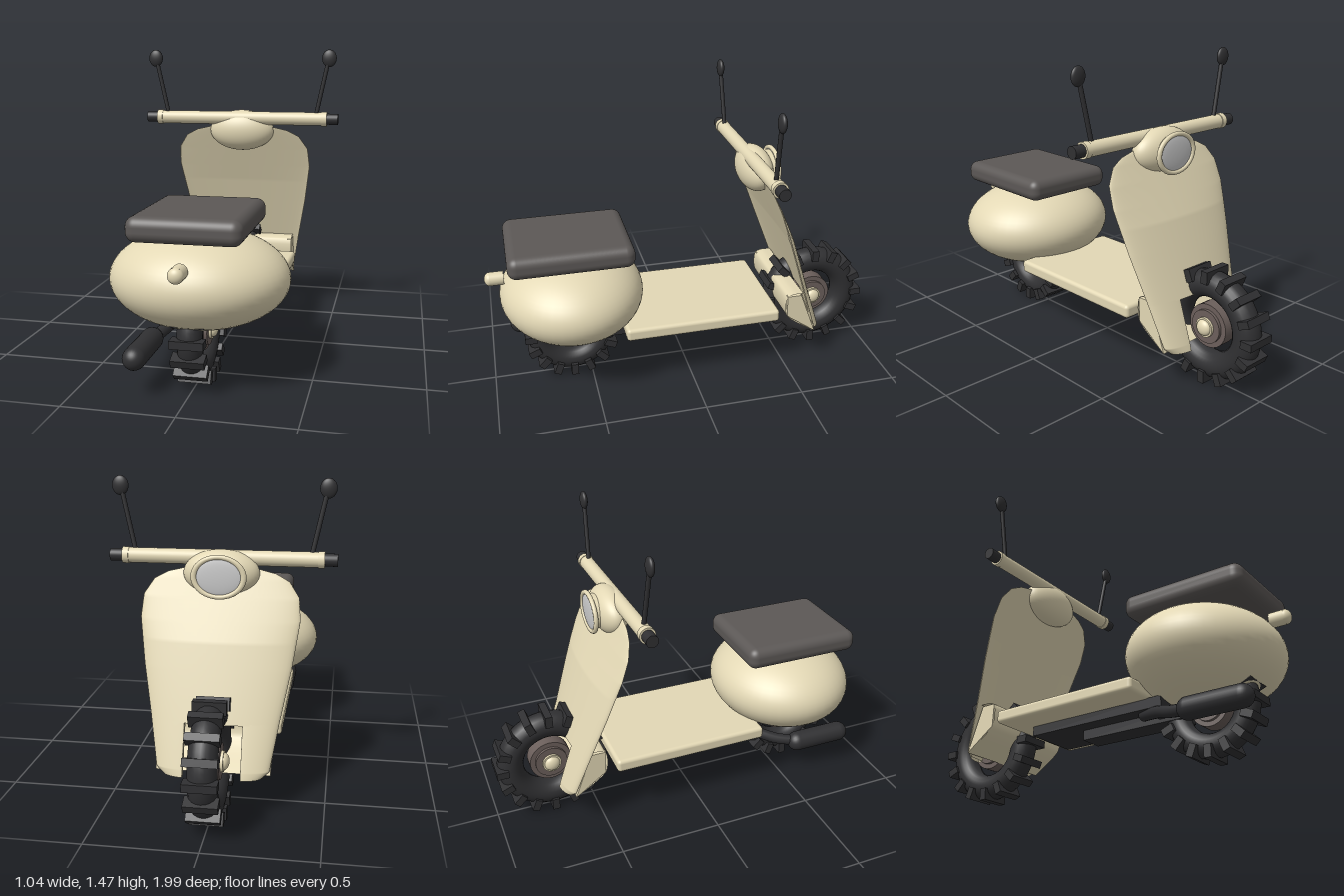
import * as THREE from 'three';
import { RoundedBoxGeometry } from 'three/addons/geometries/RoundedBoxGeometry.js';
import { ParametricGeometry } from 'three/addons/geometries/ParametricGeometry.js';

const mat = (color, side = THREE.FrontSide) => {
  const m = new THREE.MeshStandardMaterial({ side });
  m.color.set(color);
  return m;
};
const cream = mat(0xe3d8b5), creamThin = mat(0xe3d8b5, THREE.DoubleSide);
const black = mat(0x303032), seatGrey = mat(0x5c5856), hubBrown = mat(0x6b5f5b), glass = mat(0xd4d4d0);

function add(parent, name, geometry, material, x = 0, y = 0, z = 0) {
  const m = new THREE.Mesh(geometry, material);
  m.name = name;
  m.position.set(x, y, z);
  parent.add(m);
  return m;
}
const cylX = (r, length) => new THREE.CylinderGeometry(r, r, length, 32).rotateZ(Math.PI / 2);
const ellipsoid = (x, y, z) => new THREE.SphereGeometry(1, 48, 32).scale(x, y, z);

// Wheel with knobbly tyre, stepped hub and axle caps
function wheel(name, R, y, z) {
  const g = new THREE.Group();
  g.name = name;
  g.position.set(0, y, z);
  const tube = R * 0.235;
  add(g, 'tyre', new THREE.TorusGeometry(R * 0.95 - tube, tube, 20, 56).rotateY(Math.PI / 2), black);
  for (let i = 0; i < 16; i++) {
    const a = (i / 16) * Math.PI * 2;
    const r = R - 0.03;
    const t = add(g, 'tread', new THREE.BoxGeometry(0.15, 0.06, 0.036), black, 0, Math.cos(a) * r, Math.sin(a) * r);
    t.rotation.x = a;
  }
  add(g, 'hub', cylX(R * 0.38, 0.07), hubBrown);
  add(g, 'hubStep', cylX(R * 0.29, 0.1), hubBrown);
  add(g, 'axle', cylX(R * 0.17, 0.125), cream);
  for (const s of [-1, 1]) add(g, 'axleCap', ellipsoid(0.026, R * 0.14, R * 0.14), cream, s * 0.06);
  return g;
}

// Leg shield: closed lens-shaped sections stacked up a raked line
const outline = [[0.19, 0.22], [0.22, 0.255], [0.42, 0.29], [0.65, 0.335], [0.85, 0.365], [0.95, 0.357],
  [1.02, 0.31], [1.06, 0.23], [1.085, 0.06]];
const halfWidth = (y) => {
  let i = 0;
  while (i < outline.length - 2 && y > outline[i + 1][0]) i++;
  const [y0, w0] = outline[i], [y1, w1] = outline[i + 1];
  return THREE.MathUtils.lerp(w0, w1, THREE.MathUtils.clamp((y - y0) / (y1 - y0), 0, 1));
};
const rakeZ = (y) => -0.365 - (1.03 - y) * 0.35;

function shieldPart(y0, y1, side) {
  return new ParametricGeometry((u, v, p) => {
    const y = y0 + (y1 - y0) * v, a = u * Math.PI * 2, w = halfWidth(y);
    const c = Math.cos(a), s = Math.sin(a);
    const x = side === 0 ? w * c : side * (0.13 + (w - 0.13) * (0.5 + 0.5 * c));
    const taper = Math.sqrt(Math.max(0, 1 - (x / w) ** 2)) * Math.min(1, (1.1 - y) * 3);
    p.set(x, y, rakeZ(y) - (s >= 0 ? 0.052 : 0.018) * taper + (s >= 0 ? -0.004 : 0.004) * Math.abs(s));
  }, 48, 40);
}

export function createModel() {
  const model = new THREE.Group();
  model.name = 'scooter';

  // Rear body, seat and tail lamp
  add(model, 'rearBody', ellipsoid(0.405, 0.222, 0.358), cream, 0, 0.482, 0.577);
  add(model, 'seat', new RoundedBoxGeometry(0.5, 0.112, 0.605, 6, 0.045), seatGrey, 0, 0.742, 0.585);
  add(model, 'tailLamp', new THREE.CylinderGeometry(0.034, 0.034, 0.07, 24).rotateX(Math.PI / 2), cream, 0, 0.588, 0.94);
  add(model, 'tailLampDome', ellipsoid(0.034, 0.034, 0.027), cream, 0, 0.588, 0.973);

  // Floor and the stepped frame beneath it
  add(model, 'floor', new RoundedBoxGeometry(0.58, 0.065, 0.79, 4, 0.018), cream, 0, 0.337, -0.047);
  add(model, 'frame', new THREE.BoxGeometry(0.28, 0.05, 0.74), black, 0, 0.283, 0.04);
  add(model, 'lowerFrame', new THREE.BoxGeometry(0.12, 0.05, 0.55), black, 0, 0.235, 0.195);

  // Wheels
  model.add(wheel('frontWheel', 0.277, 0.287, -0.712));
  model.add(wheel('rearWheel', 0.24, 0.245, 0.593));

  // Leg shield with a gap at the foot for the wheel
  add(model, 'legShield', shieldPart(0.42, 1.085, 0), creamThin);
  for (const s of [-1, 1]) add(model, 'shieldFoot', shieldPart(0.19, 0.425, s), creamThin);

  // Wheel well behind the shield: two cheeks and a curved back
  const well = new THREE.Group();
  well.name = 'wheelWell';
  const cheek = new THREE.Shape([[-0.565, 0.425], [-0.49, 0.425], [-0.495, 0.31], [-0.65, 0.2]]
    .map(([z, y]) => new THREE.Vector2(-z, y)));
  for (const s of [-1, 1]) {
    const g = new THREE.ExtrudeGeometry(cheek, { depth: 0.02, bevelEnabled: false }).rotateY(Math.PI / 2);
    add(well, 'cheek', g, creamThin, s * 0.25 - 0.01);
  }
  const path = [[-0.575, 0.435], [-0.52, 0.435], [-0.49, 0.42], [-0.49, 0.32], [-0.52, 0.285], [-0.65, 0.2]];
  const curve = new THREE.CatmullRomCurve3(path.map(([z, y]) => new THREE.Vector3(0, y, z)), false, 'centripetal');
  add(well, 'wellBack', new ParametricGeometry((u, v, p) => {
    curve.getPoint(v, p);
    p.x = (u - 0.5) * 0.52;
  }, 8, 24), creamThin);
  model.add(well);

  // Handlebar, grips and mirrors
  add(model, 'handlebar', cylX(0.035, 0.9), cream, 0, 1.117, -0.338);
  for (const s of [-1, 1]) {
    add(model, 'handlebarCollar', cylX(0.038, 0.03), cream, s * 0.448, 1.117, -0.338);
    add(model, 'grip', cylX(0.029, 0.07), black, s * 0.486, 1.117, -0.338);
    const stem = new THREE.LineCurve3(new THREE.Vector3(s * 0.403, 1.13, -0.335), new THREE.Vector3(s * 0.463, 1.41, -0.325));
    add(model, 'mirrorStem', new THREE.TubeGeometry(stem, 1, 0.011, 12), black);
    add(model, 'mirror', ellipsoid(0.038, 0.045, 0.018), black, s * 0.47, 1.434, -0.325);
  }

  // Headlamp: housing, neck, oval rim and lens
  add(model, 'headlampHousing', ellipsoid(0.175, 0.109, 0.085), cream, 0, 1.05, -0.367);
  add(model, 'headlampNeck', new THREE.CylinderGeometry(0.08, 0.08, 0.06, 40).rotateX(Math.PI / 2).scale(1.25, 1, 1), cream, 0, 1.05, -0.43);
  add(model, 'headlampRim', new THREE.TorusGeometry(0.09, 0.011, 12, 48).scale(1.25, 1, 1), cream, 0, 1.05, -0.461);
  add(model, 'headlampLens', ellipsoid(0.11, 0.088, 0.013), glass, 0, 1.05, -0.458);

  // Exhaust: muffler and its pipe
  add(model, 'muffler', new THREE.CapsuleGeometry(0.052, 0.25, 10, 24).rotateX(Math.PI / 2), black, -0.223, 0.18, 0.72);
  const pipe = new THREE.CatmullRomCurve3([[-0.22, 0.18, 0.6], [-0.185, 0.2, 0.49], [-0.14, 0.23, 0.4], [-0.08, 0.255, 0.28]]
    .map((p) => new THREE.Vector3(...p)));
  add(model, 'exhaustPipe', new THREE.TubeGeometry(pipe, 24, 0.028, 16), black);

  return model;
}
